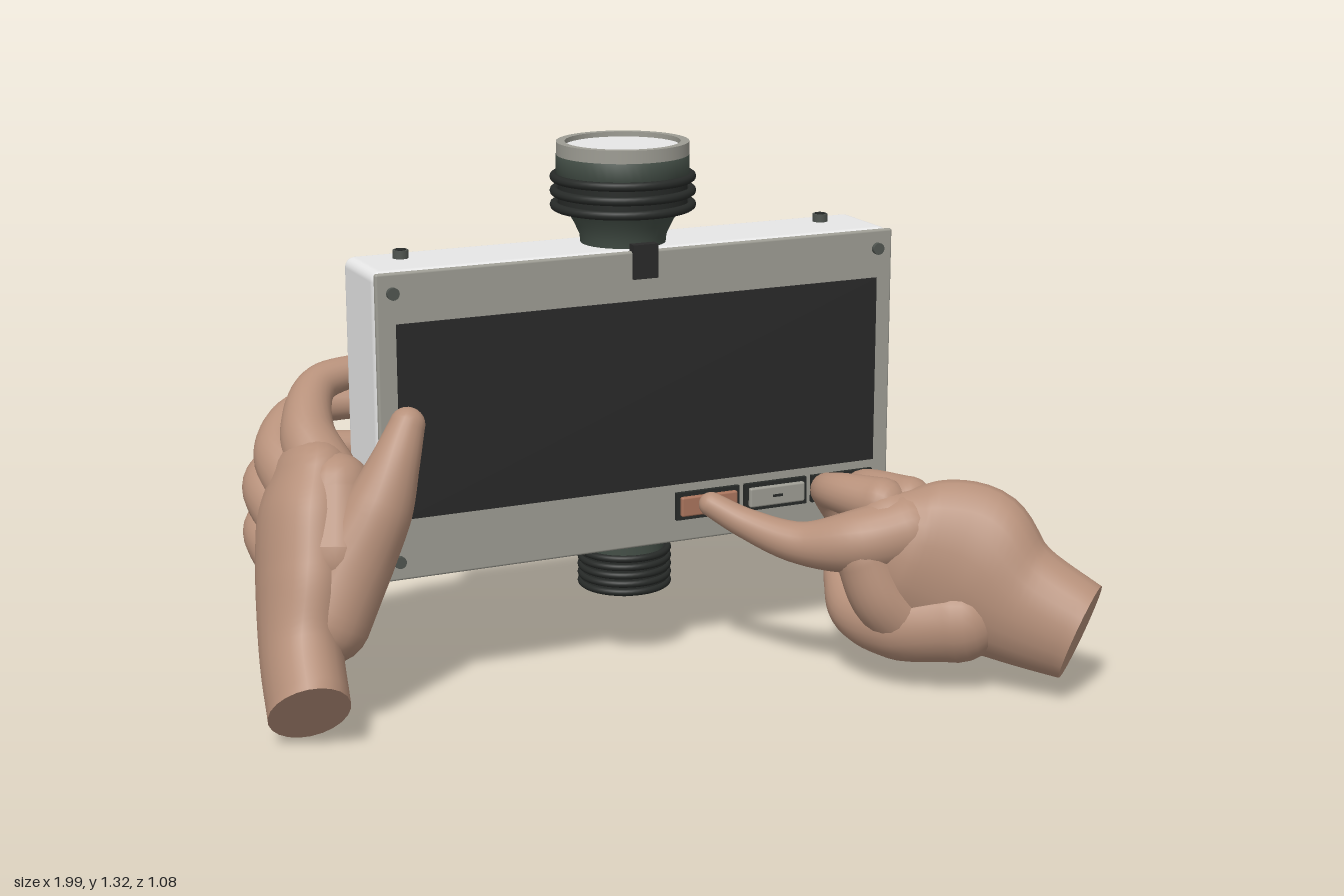
import * as THREE from 'three';
import { RoundedBoxGeometry } from 'three/addons/geometries/RoundedBoxGeometry.js';

const mat = (name, color, side = THREE.FrontSide) => {
  const m = new THREE.MeshStandardMaterial({ color, side });
  m.name = name;
  return m;
};

// Organic limb: rows are [x, y, z, sideRadius, upRadius]; ends are rounded unless flatStart
function limb(rows, up, flatStart = false) {
  const N = 22, S = 26, R = 6;
  const path = new THREE.CatmullRomCurve3(rows.map(r => new THREE.Vector3(r[0], r[1], r[2])));
  const size = new THREE.CatmullRomCurve3(rows.map(r => new THREE.Vector3(r[3], r[4] ?? r[3], 0)));
  const upV = new THREE.Vector3(...up);
  const pos = [], idx = [];
  let rings = 0;
  const ring = (u, shrink, push) => {
    const c = path.getPoint(u), t = path.getTangent(u), s = size.getPoint(u);
    const side = upV.clone().cross(t).normalize(), v = t.clone().cross(side);
    c.addScaledVector(t, push * Math.min(s.x, s.y));
    for (let j = 0; j < N; j++) {
      const a = j / N * Math.PI * 2;
      const p = c.clone().addScaledVector(side, s.x * shrink * Math.cos(a))
        .addScaledVector(v, s.y * shrink * Math.sin(a));
      pos.push(p.x, p.y, p.z);
    }
    rings++;
  };
  if (!flatStart) for (let k = R; k > 0; k--) {
    const a = k / R * Math.PI / 2;
    ring(0, Math.max(Math.cos(a), 0.01), -Math.sin(a));
  }
  for (let i = 0; i <= S; i++) ring(i / S, 1, 0);
  for (let k = 1; k <= R; k++) {
    const a = k / R * Math.PI / 2;
    ring(1, Math.max(Math.cos(a), 0.01), Math.sin(a));
  }
  for (let i = 0; i < rings - 1; i++) for (let j = 0; j < N; j++) {
    const k = (j + 1) % N, a = i * N + j, b = i * N + k;
    idx.push(a, b, b + N, a, b + N, a + N);
  }
  // Flat wrist cut with its own vertices so the rim stays sharp
  if (flatStart) {
    const base = pos.length / 3;
    pos.push(...pos.slice(0, N * 3), rows[0][0], rows[0][1], rows[0][2]);
    for (let j = 0; j < N; j++) idx.push(base + N, base + (j + 1) % N, base + j);
  }
  const g = new THREE.BufferGeometry();
  g.setAttribute('position', new THREE.Float32BufferAttribute(pos, 3));
  g.setIndex(idx);
  g.computeVertexNormals();
  return g;
}

export function createModel() {
  const root = new THREE.Group();
  const shell = mat('light grey shell', 0xe8e8e8);
  const panel = mat('warm grey panel', 0x9d9c93);
  const screenM = mat('screen black', 0x292929);
  const rubber = mat('dark rubber', 0x272a28);
  const green = mat('dark green metal', 0x434e46, THREE.DoubleSide);
  const metal = mat('screw metal', 0x505550);
  const orange = mat('orange button', 0xa9745c);
  const skin = mat('skin', 0xb6907a);

  const add = (name, geo, m, x = 0, y = 0, z = 0, parent = root) => {
    const mesh = new THREE.Mesh(geo, m);
    mesh.name = name;
    mesh.position.set(x, y, z);
    parent.add(mesh);
    return mesh;
  };
  const box = (name, m, x0, x1, y0, y1, z0, z1, r = 0) => {
    const d = [x1 - x0, y1 - y0, z1 - z0];
    const g = r ? new RoundedBoxGeometry(...d, 3, r) : new THREE.BoxGeometry(...d);
    return add(name, g, m, (x0 + x1) / 2, (y0 + y1) / 2, (z0 + z1) / 2);
  };
  const lathe = (name, pts, m, x, z) =>
    add(name, new THREE.LatheGeometry(pts.map(p => new THREE.Vector2(...p)), 48), m, x, 0, z);
  const cyl = (name, m, r, h, x, y, z, front = false) => {
    const c = add(name, new THREE.CylinderGeometry(r, r, h, 32), m, x, y, z);
    if (front) c.rotation.x = Math.PI / 2;
    return c;
  };
  const rib = (name, r, tube, x, y, z) => {
    const t = add(name, new THREE.TorusGeometry(r, tube, 10, 48), rubber, x, y, z);
    t.rotation.x = Math.PI / 2;
  };
  const CX = 0.0425, CZ = -0.325;

  // Case and front panel
  box('caseBody', shell, -0.65, 0.735, 0.31, 1.07, -0.435, -0.203, 0.025);
  box('frontPanel', panel, -0.648, 0.735, 0.312, 1.068, -0.212, -0.196, 0.006);
  box('screen', screenM, -0.6, 0.69, 0.465, 0.945, -0.199, -0.191);
  box('backMark', rubber, 0.027, 0.058, 0.408, 0.412, -0.437, -0.434);

  // Panel and top screws
  for (const x of [-0.607, 0.692]) for (const y of [0.36, 1.02])
    cyl('panelScrew', metal, 0.015, 0.012, x, y, -0.191, true);
  for (const x of [-0.53, 0.61]) {
    cyl('topScrew', metal, 0.019, 0.02, x, 1.08, -0.352);
    cyl('topScrewHead', rubber, 0.014, 0.004, x, 1.09, -0.352);
  }

  // Row of three framed buttons
  [0.213, 0.405, 0.597].forEach((x, i) => {
    box('buttonFrame', rubber, x - 0.088, x + 0.088, 0.372, 0.443, -0.196, -0.184);
    box('button', i ? panel : orange, x - 0.078, x + 0.078, 0.382, 0.433, -0.19, -0.173, 0.005);
    box('buttonMark', rubber, x - 0.014, x + 0.014, 0.404, 0.411, -0.174, -0.172);
  });

  // Top sensor head with ribbed collar
  lathe('sensorNeck', [[0.105, 1.06], [0.108, 1.09], [0.122, 1.12], [0.142, 1.155], [0.155, 1.165]], green, CX, CZ);
  cyl('sensorCollar', rubber, 0.16, 0.09, CX, 1.205, CZ);
  for (const y of [1.163, 1.198, 1.233]) rib('sensorRib', 0.17, 0.011, CX, y, CZ);
  lathe('sensorDrum', [[0.15, 1.242], [0.165, 1.242], [0.165, 1.288], [0.15, 1.288]], green, CX, CZ);
  const ringProfile = [[0.164, 1.287], [0.164, 1.32], [0.143, 1.32], [0.143, 1.3]];
  for (let i = 0; i < 3; i++)
    lathe('sensorRim', ringProfile.slice(i, i + 2), panel, CX, CZ);
  cyl('sensorWindow', shell, 0.143, 0.02, CX, 1.298, CZ);
  box('sensorLatch', screenM, 0.01, 0.075, 1.0, 1.085, -0.212, -0.186);

  // Lower connector
  cyl('connectorNeck', green, 0.1, 0.06, CX, 0.295, CZ);
  cyl('connectorCore', rubber, 0.112, 0.1, CX, 0.23, CZ);
  for (let i = 0; i < 5; i++) rib('connectorRib', 0.111, 0.009, CX, 0.188 + i * 0.022, CZ);
  cyl('connectorCap', rubber, 0.07, 0.02, CX, 0.174, CZ);
  cyl('connectorPin', metal, 0.006, 0.06, CX, 0.234, -0.458, true);

  // Belt clip on the back with a small curled hook
  box('clipMount', panel, 0.01, 0.075, 0.92, 0.978, -0.48, -0.43);
  box('clipBar', panel, 0.01, 0.075, 0.5, 0.978, -0.481, -0.459);
  const hook = new THREE.CatmullRomCurve3([[0.51, -0.47], [0.482, -0.47], [0.467, -0.458], [0.463, -0.43]]
    .map(([y, z]) => new THREE.Vector3(CX, y, z)));
  add('clipHook', new THREE.TubeGeometry(hook, 16, 0.011, 10), panel);

  // Hands: palm with flat wrist, plus digits
  const hand = (name, palm, palmUp, digits) => {
    const g = new THREE.Group();
    g.name = name;
    root.add(g);
    add('palm', limb(palm, palmUp, true), skin, 0, 0, 0, g);
    for (const [n, rows, up] of digits) add(n, limb(rows, up), skin, 0, 0, 0, g);
  };
  const Y = [0, 1, 0], X = [1, 0, 0];

  // Hand gripping the side of the case
  hand('grippingHand', [
    [-0.905, 0.09, 0.003, 0.13, 0.096], [-0.885, 0.2, -0.11, 0.14, 0.097],
    [-0.85, 0.33, -0.195, 0.172, 0.108], [-0.82, 0.46, -0.26, 0.172, 0.112], [-0.785, 0.56, -0.31, 0.148, 0.095],
  ], X, [
    ['thumb', [[-0.82, 0.27, -0.11, 0.105], [-0.745, 0.41, -0.125, 0.1], [-0.68, 0.53, -0.12, 0.083],
      [-0.635, 0.63, -0.127, 0.06], [-0.595, 0.712, -0.148, 0.043]], X],
    ['thumbWeb', [[-0.78, 0.42, -0.15, 0.11], [-0.755, 0.56, -0.21, 0.085]], X],
    ['indexFinger', [[-0.765, 0.57, -0.26, 0.085], [-0.775, 0.665, -0.36, 0.066],
      [-0.715, 0.75, -0.457, 0.048], [-0.575, 0.778, -0.483, 0.037]], Y],
    ['middleFinger', [[-0.81, 0.53, -0.3, 0.082], [-0.83, 0.61, -0.41, 0.064],
      [-0.755, 0.68, -0.488, 0.048], [-0.54, 0.69, -0.486, 0.038]], Y],
    ['ringFinger', [[-0.84, 0.46, -0.31, 0.078], [-0.862, 0.53, -0.42, 0.06],
      [-0.77, 0.575, -0.491, 0.046], [-0.55, 0.573, -0.488, 0.038]], Y],
    ['littleFinger', [[-0.855, 0.37, -0.28, 0.078], [-0.875, 0.425, -0.395, 0.057],
      [-0.79, 0.45, -0.481, 0.043], [-0.6, 0.447, -0.486, 0.035]], Y],
  ]);

  // Hand pressing a button
  hand('pressingHand', [
    [0.91, 0.167, 0.462, 0.106, 0.127], [0.8, 0.225, 0.345, 0.115, 0.163],
    [0.7, 0.295, 0.255, 0.122, 0.223], [0.58, 0.34, 0.195, 0.112, 0.19], [0.51, 0.37, 0.165, 0.085, 0.13],
  ], Y, [
    ['indexFinger', [[0.57, 0.4, 0.2, 0.09], [0.45, 0.375, 0.165, 0.08], [0.34, 0.36, 0.075, 0.053],
      [0.24, 0.395, -0.03, 0.038], [0.175, 0.435, -0.09, 0.031]], Y],
    ['thumbWeb', [[0.57, 0.17, 0.21, 0.085], [0.5, 0.24, 0.2, 0.078], [0.46, 0.34, 0.18, 0.07]], X],
    ['middleFinger', [[0.53, 0.455, 0.14, 0.065], [0.465, 0.46, 0.01, 0.047],
      [0.5, 0.425, -0.08, 0.041], [0.56, 0.325, -0.095, 0.034]], X],
    ['ringFinger', [[0.6, 0.455, 0.15, 0.062], [0.555, 0.455, 0, 0.046],
      [0.6, 0.395, -0.07, 0.04], [0.655, 0.305, -0.07, 0.033]], X],
    ['littleFinger', [[0.67, 0.415, 0.16, 0.06], [0.635, 0.415, 0.03, 0.043],
      [0.68, 0.36, -0.035, 0.037], [0.735, 0.3, 0, 0.03]], X],
    ['thumb', [[0.67, 0.18, 0.28, 0.11], [0.55, 0.16, 0.185, 0.095], [0.495, 0.165, 0.085, 0.066],
      [0.51, 0.21, -0.02, 0.046], [0.54, 0.26, -0.1, 0.034]], X],
  ]);

  return root;
}
